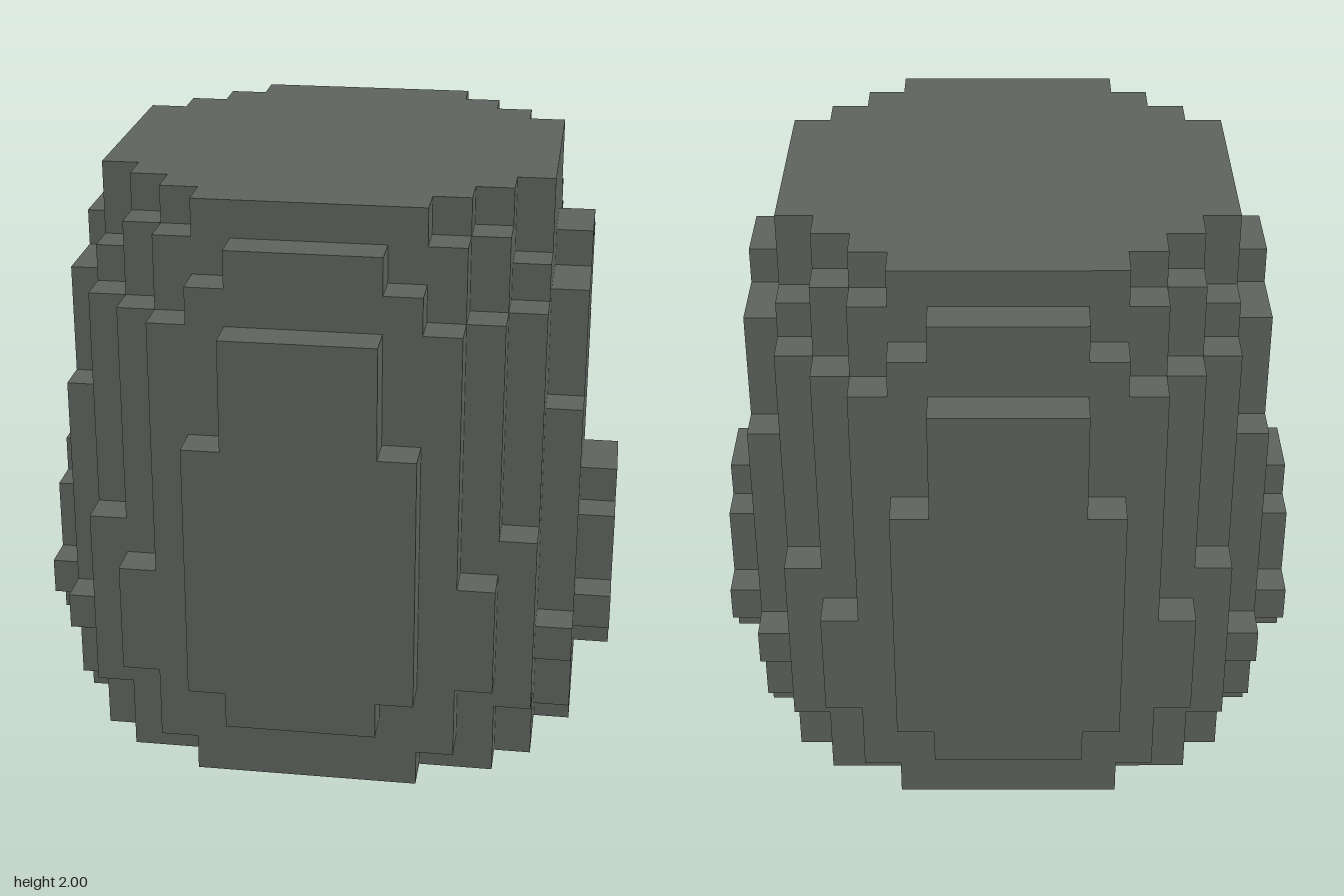
import * as THREE from 'three';
import { mergeGeometries } from 'three/addons/utils/BufferGeometryUtils.js';

const S = 0.125; // block size

// Per layer group: how many layers, then the half-width in x of each block row
// going outward from the middle (the same in all four quadrants).
const LAYERS = [
  [1, [7, 7, 7, 6, 6, 5, 3, 0]], // foot
  [1, [7, 7, 7, 7, 6, 5, 4, 0]],
  [1, [8, 8, 7, 7, 6, 6, 4, 2]], // belly
  [1, [8, 8, 8, 7, 7, 6, 5, 3]],
  [2, [8, 8, 7, 7, 6, 6, 5, 3]],
  [1, [8, 7, 7, 7, 6, 6, 4, 3]],
  [3, [7, 7, 7, 7, 6, 5, 4, 3]], // upper body
  [3, [7, 7, 7, 6, 6, 5, 4, 2]],
  [1, [7, 6, 6, 6, 5, 4, 3, 0]], // shoulder
  [1, [6, 6, 6, 5, 5, 4, 2, 0]],
  [1, [6, 6, 6, 5, 4, 3, 0, 0]], // flat top
];
const rows = LAYERS.flatMap(([count, widths]) => Array(count).fill(widths));

// Is the block with its low corner at (x, y, z) solid?
const ring = (i) => (i < 0 ? -i - 1 : i);
const solid = (x, y, z) => ring(x) < (rows[y]?.[ring(z)] ?? 0);

// A block side for each direction, facing outward
const SIDES = [[1, 0, 0], [-1, 0, 0], [0, 1, 0], [0, -1, 0], [0, 0, 1], [0, 0, -1]].map((dir) => {
  const face = new THREE.PlaneGeometry(S, S).translate(0, 0, S / 2);
  const turn = new THREE.Quaternion().setFromUnitVectors(
    new THREE.Vector3(0, 0, 1), new THREE.Vector3(...dir));
  return { dir, face: face.applyQuaternion(turn) };
});

// Outer skin of the blocks: only sides with no neighbour
function blockSkin() {
  const faces = [];
  for (let y = 0; y < rows.length; y++)
    for (let z = -8; z < 8; z++)
      for (let x = -8; x < 8; x++) {
        if (!solid(x, y, z)) continue;
        for (const { dir: [dx, dy, dz], face } of SIDES)
          if (!solid(x + dx, y + dy, z + dz))
            faces.push(face.clone().translate((x + 0.5) * S, (y + 0.5) * S, (z + 0.5) * S));
      }
  return mergeGeometries(faces);
}

export function createModel() {
  const group = new THREE.Group();
  group.name = 'blockBoulder';
  const body = new THREE.Mesh(blockSkin(),
    new THREE.MeshStandardMaterial({ color: 0x5f645f, flatShading: true }));
  body.name = 'steppedBody';
  group.add(body);
  return group;
}
